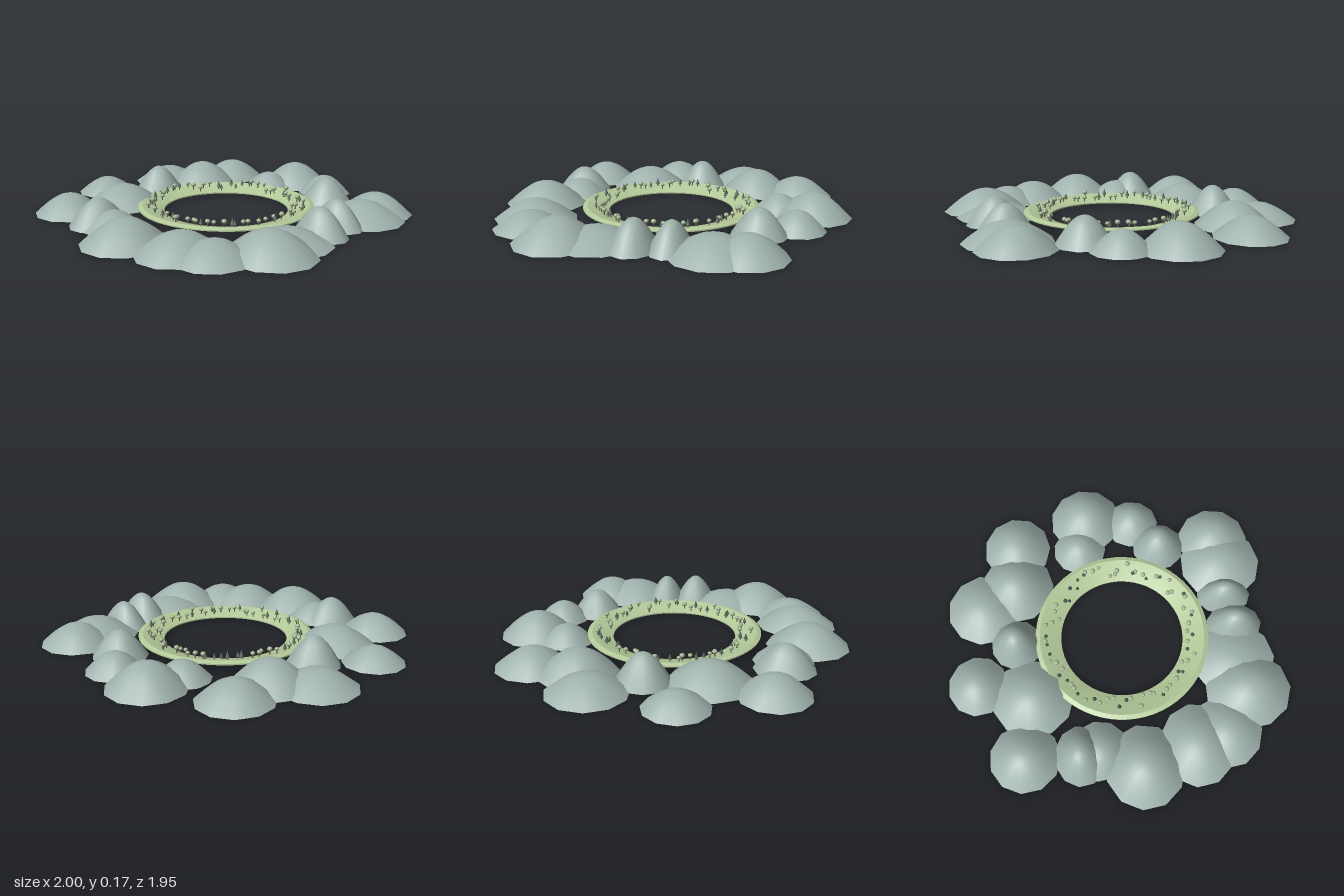
import * as THREE from 'three';
import { toCreasedNormals } from 'three/addons/utils/BufferGeometryUtils.js';

const mat = (name, color, side = THREE.FrontSide) => {
  const m = new THREE.MeshStandardMaterial({ color, side });
  m.name = name;
  return m;
};

// Small seeded generator for the scattered trees
function seeded(seed) {
  return () => {
    seed = (seed * 16807) % 2147483647;
    return seed / 2147483647;
  };
}

export function createModel() {
  const group = new THREE.Group();
  group.name = 'valleyLandscape';
  const rock = mat('hillGrey', 0x9fb1ac, THREE.DoubleSide);
  const grass = mat('meadowGreen', 0xb4ca9a);
  const leaf = mat('paleLeaf', 0xa3b592);
  const pine = mat('darkPine', 0x56665a);
  const bark = mat('bark', 0x6b6152);

  const add = (parent, name, geo, material, x = 0, y = 0, z = 0) => {
    const m = new THREE.Mesh(geo, material);
    m.name = name;
    m.position.set(x, y, z);
    parent.add(m);
    return m;
  };

  // Open rounded dome shared by every hill
  const domePoints = [];
  for (let i = 0; i <= 12; i++) {
    const t = 1 - i / 12;
    domePoints.push(new THREE.Vector2(t, Math.cos(t * Math.PI / 2)));
  }
  const dome = new THREE.LatheGeometry(domePoints, 11);

  // Hills: x, z, half width, half depth, height
  const hills = new THREE.Group();
  hills.name = 'hills';
  group.add(hills);
  [
    [-0.235, -0.81, 0.177, 0.172, 0.095],
    [0.235, -0.765, 0.22, 0.218, 0.1],
    [-0.67, -0.555, 0.195, 0.2, 0.115],
    [-0.33, -0.5, 0.23, 0.235, 0.12],
    [0.0, -0.58, 0.152, 0.15, 0.165],
    [0.36, -0.57, 0.22, 0.22, 0.14],
    [0.62, -0.56, 0.21, 0.2, 0.115],
    [0.585, -0.18, 0.155, 0.158, 0.1],
    [0.785, -0.13, 0.217, 0.215, 0.14],
  ].concat([
    [0.745, 0.15, 0.158, 0.162, 0.11],
    [0.575, 0.3, 0.155, 0.156, 0.15],
    [0.6, 0.64, 0.205, 0.21, 0.12],
    [0.435, 0.665, 0.24, 0.24, 0.11],
    [0.22, 0.66, 0.115, 0.16, 0.155],
    [0.035, 0.7, 0.128, 0.163, 0.16],
    [-0.18, 0.67, 0.235, 0.24, 0.085],
    [-0.37, 0.73, 0.23, 0.247, 0.135],
  ], [
    [-0.6, 0.58, 0.21, 0.2, 0.1],
    [-0.665, 0.41, 0.237, 0.215, 0.115],
    [-0.765, 0.105, 0.237, 0.225, 0.135],
    [-0.66, -0.14, 0.17, 0.17, 0.1],
    [-0.68, -0.245, 0.172, 0.15, 0.15],
  ]).forEach(([x, z, rx, rz, h], i) => {
    add(hills, 'hill' + (i + 1), dome, rock, x, 0, z).scale.set(rx, h, rz);
  });

  // Meadow: thin ring sloping up to a rolled outer rim
  const cz = 0.035;
  const profile = [
    [0.355, 0.01], [0.475, 0.04], [0.503, 0.036], [0.503, 0.043],
    [0.478, 0.052], [0.362, 0.02], [0.355, 0.017], [0.355, 0.01],
  ].map(([r, y]) => new THREE.Vector2(r, y));
  const ring = toCreasedNormals(new THREE.LatheGeometry(profile, 64), 0.15);
  add(group, 'meadowRing', ring, grass, 0, 0, cz);

  // Trees scattered around the meadow
  const trees = new THREE.Group();
  trees.name = 'trees';
  group.add(trees);
  const trunkGeo = new THREE.CylinderGeometry(0.003, 0.004, 0.022, 5);
  const roundGeo = new THREE.IcosahedronGeometry(0.014, 1);
  const coneGeo = new THREE.ConeGeometry(0.012, 0.034, 7);
  const rand = seeded(41);
  const count = 70;
  for (let i = 0; i < count; i++) {
    const a = (i + 0.8 * rand()) / count * Math.PI * 2;
    const r = 0.378 + 0.07 * rand();
    const tree = new THREE.Group();
    tree.name = 'tree' + (i + 1);
    tree.position.set(r * Math.cos(a), 0.018 + (r - 0.355) * 0.27, cz + r * Math.sin(a));
    tree.scale.setScalar(0.85 + 0.25 * rand());
    add(tree, 'trunk', trunkGeo, bark, 0, 0.01, 0);
    if (rand() < 0.35) add(tree, 'pineCrown', coneGeo, pine, 0, 0.03, 0);
    else add(tree, 'roundCrown', roundGeo, leaf, 0, 0.028, 0).scale.y = 0.85;
    trees.add(tree);
  }
  return group;
}
